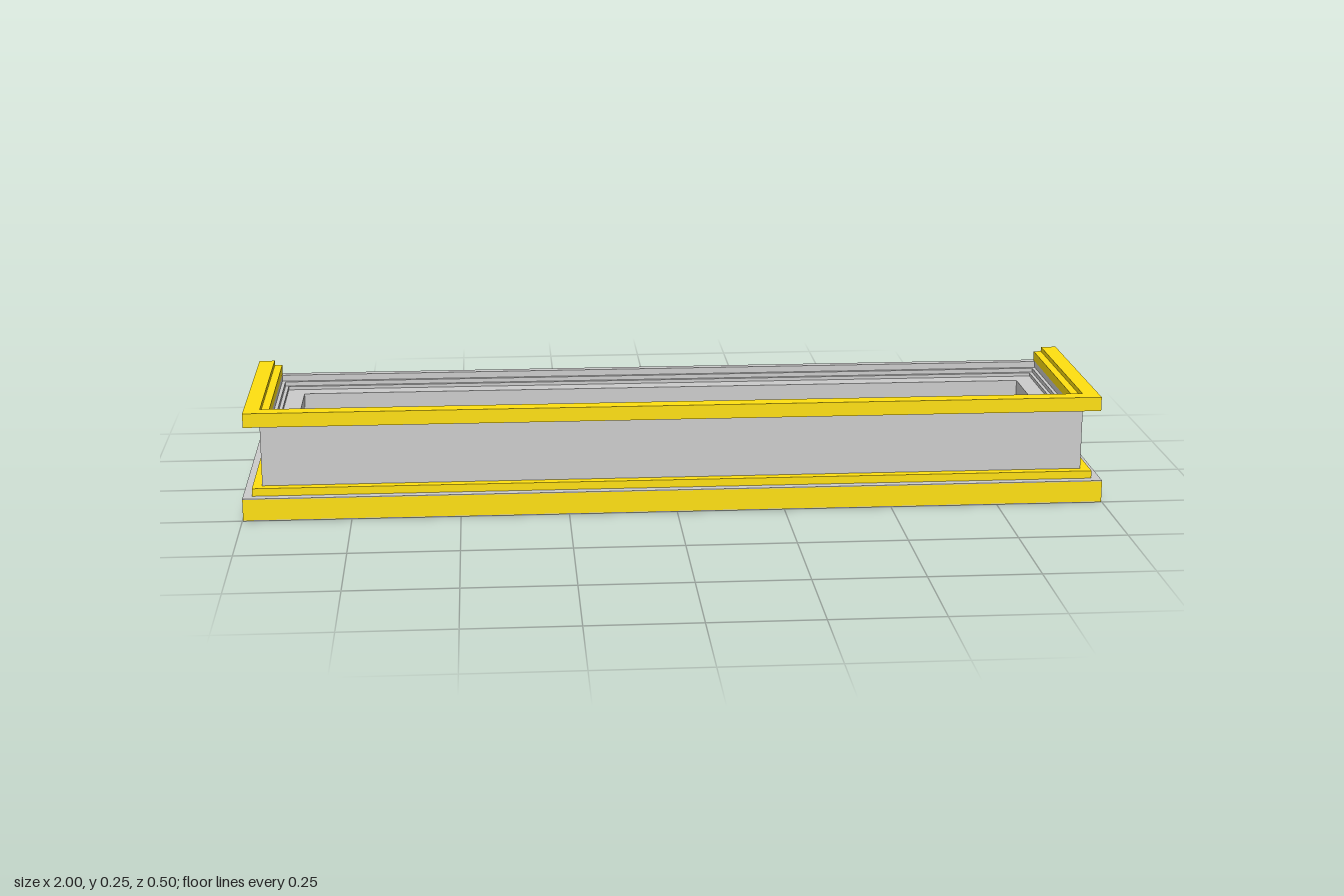
import * as THREE from 'three';

// Outer faces of the frame wall
const HX = 0.955, FRONT = 0.208, BACK = -0.25, TRIM_BACK = -0.247;

// Sweep a counter-clockwise (outset, height) profile around the rectangle with
// mitred corners: all four sides, or only left, front and right with end caps.
function sweep(profile, closed) {
  const corner = (i, [o, y]) => {
    const x = (i === 0 || i === 1 ? 1 : -1) * (HX + o);
    const back = closed ? BACK - o : TRIM_BACK;
    return [x, y, i === 1 || i === 2 ? FRONT + o : back];
  };
  const pos = [];
  const n = profile.length;
  for (let i = 0; i < (closed ? 4 : 3); i++) {
    const k = (i + 1) % 4;
    for (let j = 0; j < n; j++) {
      const p = profile[j], q = profile[(j + 1) % n];
      const a = corner(i, p), b = corner(i, q), c = corner(k, q), d = corner(k, p);
      pos.push(...a, ...b, ...c, ...a, ...c, ...d);
    }
  }
  if (!closed) {
    const pts = profile.map(([o, y]) => new THREE.Vector2(o, y));
    for (const [a, b, c] of THREE.ShapeUtils.triangulateShape(pts, [])) {
      pos.push(...corner(0, profile[a]), ...corner(0, profile[c]), ...corner(0, profile[b]));
      pos.push(...corner(3, profile[a]), ...corner(3, profile[b]), ...corner(3, profile[c]));
    }
  }
  const g = new THREE.BufferGeometry();
  g.setAttribute('position', new THREE.Float32BufferAttribute(pos, 3));
  g.computeVertexNormals();
  return g;
}

export function createModel() {
  const grey = new THREE.MeshStandardMaterial({ color: 0xcccccc, flatShading: true });
  const gold = new THREE.MeshStandardMaterial({ color: 0xffe010, flatShading: true });
  const green = new THREE.MeshStandardMaterial({ color: 0x10ff10, flatShading: true });
  const group = new THREE.Group();
  const add = (name, geometry, material) => {
    const mesh = new THREE.Mesh(geometry, material);
    mesh.name = name;
    group.add(mesh);
    return mesh;
  };

  // Hollow frame with a stepped inner edge
  add('frame', sweep([
    [0, 0.054], [0, 0.22], [-0.02, 0.22], [-0.02, 0.205], [-0.028, 0.205],
    [-0.028, 0.195], [-0.036, 0.195], [-0.036, 0.187], [-0.077, 0.187],
    [-0.077, 0.145], [-0.092, 0.14], [-0.092, 0.13], [-0.08, 0.13],
    [-0.08, 0.085], [-0.092, 0.068], [-0.092, 0.054],
  ], true), grey);

  // Upper trim: raised outer lip and a lower inner step
  add('upperTrim', sweep([
    [-0.02, 0.22], [0.035, 0.22], [0.035, 0.253], [-0.002, 0.253],
    [-0.002, 0.242], [-0.02, 0.242],
  ], false), gold);

  // Lower trim: skirt with a narrower flange above it
  add('lowerTrim', sweep([
    [0, 0.04], [0.025, 0.04], [0.025, 0.002], [0.043, 0.002], [0.043, 0.051],
    [0.022, 0.051], [0.022, 0.071], [0, 0.071],
  ], false), gold);

  // Thin grey edges on the top and bottom of the skirt
  add('skirtTopEdge', sweep([[0.022, 0.051], [0.043, 0.051], [0.043, 0.053], [0.022, 0.053]], false), grey);
  add('skirtBottomEdge', sweep([[0.025, 0], [0.043, 0], [0.043, 0.002], [0.025, 0.002]], false), grey);

  // Green strips along the inner lip
  const strip = (name, w, d, x, z) =>
    add(name, new THREE.BoxGeometry(w, 0.008, d), green).position.set(x, 0.138, z);
  for (const s of [-1, 1]) strip(s < 0 ? 'backStripRight' : 'backStripLeft', 0.12, 0.01, s * 0.805, -0.16);
  strip('sideStrip', 0.01, 0.27, -0.865, -0.025);

  return group;
}
